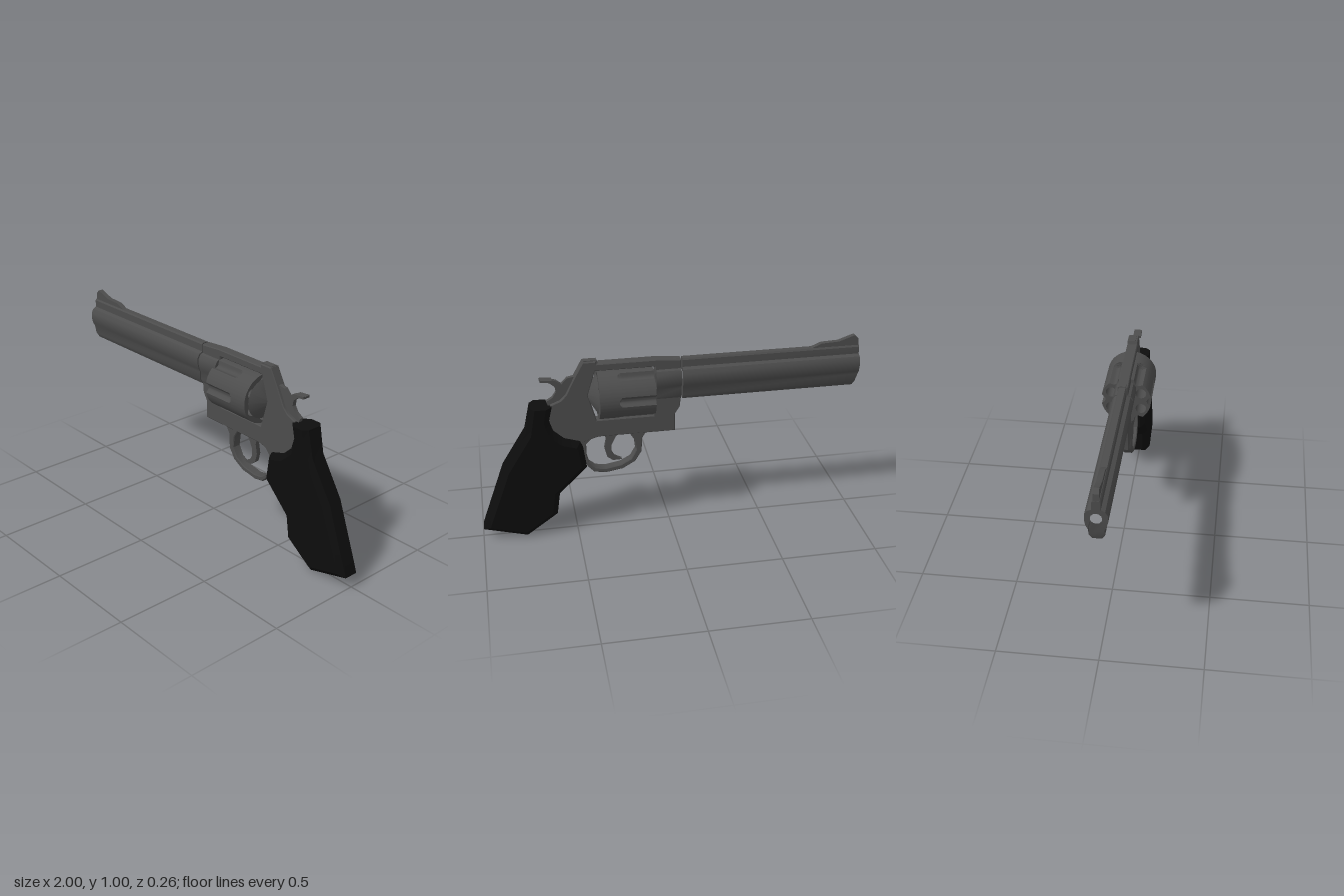
import * as THREE from 'three';
import { toCreasedNormals } from 'three/addons/utils/BufferGeometryUtils.js';

const metal = new THREE.MeshStandardMaterial({ color: 0x4c4c4c });
const gripMat = new THREE.MeshStandardMaterial({ color: 0x0d0d0d });

const AXIS_Y = 0.783; // cylinder axis height
const BORE_Y = 0.858; // barrel bore height

const toShape = (pts) => new THREE.Shape(pts.map(([x, y]) => new THREE.Vector2(x, y)));
const circleHole = (x, y, r) => new THREE.Path().absarc(x, y, r, 0, Math.PI * 2, true);

function part(name, geo, material = metal, crease = 0.6) {
  const mesh = new THREE.Mesh(toCreasedNormals(geo, crease), material);
  mesh.name = name;
  return mesh;
}

// Side outline in x,y, given thickness centred on z = 0, bevelled inward
function plate(shape, half, bevel = 0, bevelSize = bevel) {
  const geo = new THREE.ExtrudeGeometry(shape, {
    depth: 2 * (half - bevel), curveSegments: 8,
    bevelEnabled: bevel > 0, bevelThickness: bevel, bevelSize, bevelOffset: -bevelSize, bevelSegments: 1,
  });
  return geo.translate(0, 0, -(half - bevel));
}

// Cross-section in z,y swept along x
function sweepX(shape, x0, x1) {
  const geo = new THREE.ExtrudeGeometry(shape, { depth: x1 - x0, bevelEnabled: false, curveSegments: 6 });
  return geo.rotateY(Math.PI / 2).translate(x0, 0, 0);
}

// Rib, round barrel and underlug as one mirrored section
function barrelSection() {
  const half = [[0.015, 0.95], [0.021, 0.942], [0.021, 0.905], [0.04, 0.896], [0.052, 0.875], [0.053, 0.845],
    [0.046, 0.815], [0.036, 0.795], [0.036, 0.755], [0.022, 0.73]];
  const mirrored = half.map(([z, y]) => [-z, y]).reverse();
  return toShape([...half, ...mirrored]);
}

// Cylinder section with six chambers and, for f > 0, six flutes of radius f
function cylinderSection(f) {
  const R = 0.129, n = 120, pts = [];
  for (let i = 0; i < n; i++) {
    const a = (i / n) * Math.PI * 2;
    const d = a - Math.round(a / (Math.PI / 3)) * (Math.PI / 3);
    const s = R * Math.sin(d);
    const r = 2 * R * Math.abs(Math.sin(d / 2)) < f ? R * Math.cos(d) - Math.sqrt(f * f - s * s) : R;
    pts.push([r * Math.cos(a), AXIS_Y + r * Math.sin(a)]);
  }
  const shape = toShape(pts);
  for (let k = 0; k < 6; k++) {
    const a = (k + 0.5) * Math.PI / 3;
    shape.holes.push(circleHole(0.089 * Math.cos(a), AXIS_Y + 0.089 * Math.sin(a), 0.028));
  }
  return shape;
}

export function createModel() {
  const model = new THREE.Group();
  model.name = 'revolver';

  // Barrel with bore and a slanted lower muzzle
  const section = barrelSection();
  section.holes.push(circleHole(0, BORE_Y, 0.027));
  const barrelGeo = sweepX(section, -1, -0.066);
  const bp = barrelGeo.attributes.position;
  for (let i = 0; i < bp.count; i++) {
    if (bp.getX(i) < -0.9 && bp.getY(i) < 0.8) bp.setX(i, -1 + (0.8 - bp.getY(i)) * 0.35);
  }
  model.add(part('barrel', barrelGeo));
  model.add(part('barrelCollar', sweepX(barrelSection(), -0.058, 0.07)));

  // Front sight blade
  model.add(part('frontSight', plate(toShape([[-0.998, 0.945], [-0.995, 0.985], [-0.975, 1.005], [-0.89, 0.976],
    [-0.8, 0.972], [-0.735, 0.945]]), 0.013)));

  // Frame with the cylinder window
  const frame = toShape([[-0.058, 0.947], [0.07, 0.957], [0.37, 0.957], [0.375, 0.971], [0.44, 0.971], [0.485, 0.89],
    [0.53, 0.8], [0.56, 0.77], [0.61, 0.75], [0.625, 0.66], [0.6, 0.6], [0.55, 0.55], [0.47, 0.51], [0.44, 0.53],
    [0.37, 0.55], [-0.027, 0.55], [-0.027, 0.645], [-0.052, 0.685], [-0.058, 0.74]]);
  frame.holes.push(toShape([[0.075, 0.92], [0.085, 0.645], [0.38, 0.645], [0.42, 0.79], [0.38, 0.92]]));
  model.add(part('frame', plate(frame, 0.027, 0.004)));

  // Rear sight
  model.add(part('rearSight', plate(toShape([[0.36, 0.95], [0.37, 0.975], [0.435, 0.975], [0.45, 0.95]]), 0.016)));

  // Fluted cylinder: thin slices with shrinking flutes round off the flute ends
  const cylinder = new THREE.Group();
  cylinder.name = 'cylinder';
  const flute = 0.022, straight = 0.25, steps = 4;
  cylinder.add(part('flutedSection', sweepX(cylinderSection(flute), 0.085, straight)));
  for (let i = 0; i < steps; i++) {
    const t = (i + 0.5) / steps;
    const x0 = straight + (flute * i) / steps;
    cylinder.add(part('fluteEnd', sweepX(cylinderSection(flute * Math.sqrt(1 - t * t)), x0, x0 + flute / steps)));
  }
  cylinder.add(part('rearSection', sweepX(cylinderSection(0), straight + flute, 0.37)));
  model.add(cylinder);

  // Tapered cone behind the cylinder, and its axle
  const cone = new THREE.CylinderGeometry(0.02, 0.104, 0.052, 24).rotateZ(-Math.PI / 2).translate(0.396, AXIS_Y, 0);
  model.add(part('rearCone', cone));
  const axle = new THREE.CylinderGeometry(0.018, 0.018, 0.36, 12).rotateZ(Math.PI / 2).translate(0.245, AXIS_Y, 0);
  model.add(part('axle', axle));

  // Trigger guard as an outline with an opening
  const guard = toShape([[0.12, 0.56], [0.145, 0.52], [0.15, 0.44], [0.185, 0.385], [0.25, 0.348], [0.34, 0.333],
    [0.4, 0.343], [0.435, 0.38], [0.455, 0.44], [0.46, 0.56]]);
  guard.holes.push(toShape([[0.21, 0.551], [0.185, 0.51], [0.178, 0.45], [0.205, 0.402], [0.26, 0.372], [0.34, 0.358],
    [0.39, 0.366], [0.425, 0.395], [0.438, 0.45], [0.438, 0.51], [0.41, 0.54], [0.37, 0.551]]));
  model.add(part('triggerGuard', plate(guard, 0.025, 0.004)));

  // Trigger
  model.add(part('trigger', plate(toShape([[0.255, 0.57], [0.285, 0.53], [0.305, 0.49], [0.308, 0.45], [0.29, 0.418],
    [0.252, 0.398], [0.3, 0.397], [0.33, 0.42], [0.342, 0.47], [0.332, 0.52], [0.345, 0.57]]), 0.012)));

  // Hammer with its curved spur
  model.add(part('hammer', plate(toShape([[0.47, 0.85], [0.485, 0.893], [0.52, 0.886], [0.55, 0.855], [0.575, 0.875],
    [0.61, 0.886], [0.66, 0.89], [0.655, 0.877], [0.61, 0.867], [0.583, 0.845], [0.578, 0.815], [0.597, 0.785],
    [0.63, 0.765], [0.62, 0.74], [0.54, 0.74]]), 0.011)));
  const spur = new THREE.BoxGeometry(0.06, 0.012, 0.042).rotateZ(0.09).translate(0.626, 0.881, 0);
  model.add(part('hammerSpur', spur));

  // Grip: chamfered on the sides, square at the top
  const gripGeo = plate(toShape([[0.605, 0.745], [0.715, 0.745], [0.745, 0.61], [0.87, 0.41], [0.995, 0.065],
    [0.77, 0.003], [0.605, 0.12], [0.588, 0.24], [0.44, 0.385], [0.455, 0.5], [0.47, 0.535], [0.55, 0.56],
    [0.605, 0.61], [0.622, 0.67]]), 0.063, 0.026, 0.028);
  const gp = gripGeo.attributes.position;
  for (let i = 0; i < gp.count; i++) if (gp.getY(i) > 0.7) gp.setY(i, 0.745);
  gripGeo.computeVertexNormals();
  model.add(part('grip', gripGeo, gripMat, 0.4));

  return model;
}
